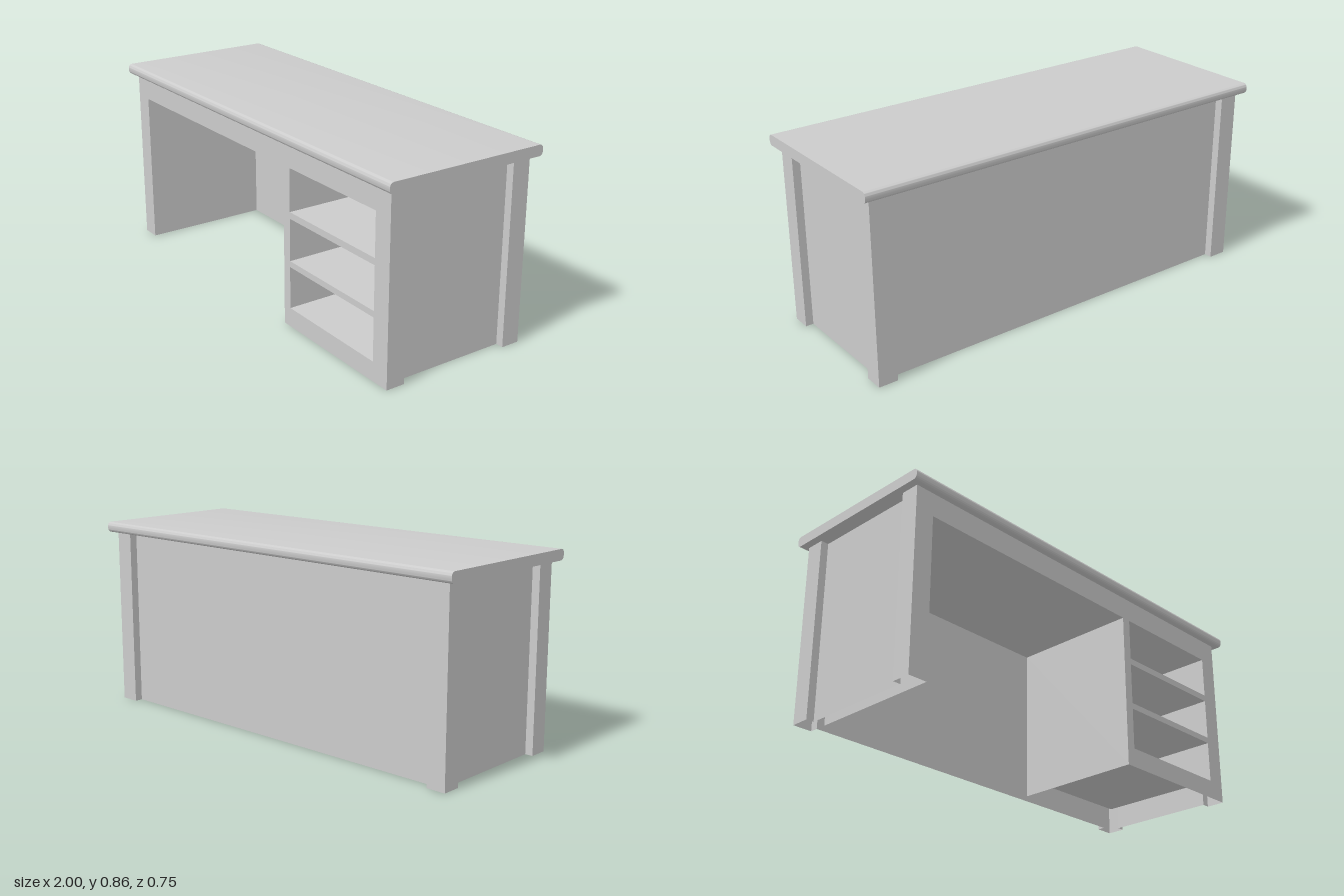
import * as THREE from 'three';
import { toCreasedNormals } from 'three/addons/utils/BufferGeometryUtils.js';

const X = 0.967, Z = 0.341;          // outer half size of the carcass
const PX = 0.88, PZ = 0.257;         // inner edges of the corner posts
const SX = 0.932, SZ = 0.305;        // recessed side and back panels
const H = 0.808, TOP = 0.855;        // carcass height, worktop height

// Upright wall following a plan of [x, z] points
function wall(points, height) {
  const pos = [];
  for (let i = 0; i < points.length - 1; i++) {
    const [ax, az] = points[i], [bx, bz] = points[i + 1];
    pos.push(ax, 0, az, bx, 0, bz, bx, height, bz);
    pos.push(ax, 0, az, bx, height, bz, ax, height, az);
  }
  const g = new THREE.BufferGeometry();
  g.setAttribute('position', new THREE.Float32BufferAttribute(pos, 3));
  g.computeVertexNormals();
  return g;
}

// Box-shaped recess running back from the front face, open on the front
function recess(x0, x1, y0, y1, openBottom) {
  const g = new THREE.BoxGeometry(x1 - x0, y1 - y0, Z + PZ);
  const index = Array.from(g.index.array);
  // side order: +x, -x, +y, -y, +z, -z
  const sides = openBottom ? [0, 1, 2, 5] : [0, 1, 2, 3, 5];
  g.setIndex(sides.flatMap((s) => index.slice(s * 6, s * 6 + 6)));
  g.clearGroups();
  return g.translate((x0 + x1) / 2, (y0 + y1) / 2, (Z - PZ) / 2);
}

function rectPath(Type, x0, x1, y0, y1) {
  return new Type([[x0, y0], [x1, y0], [x1, y1], [x0, y1]].map(([x, y]) => new THREE.Vector2(x, y)));
}

export function createModel() {
  const desk = new THREE.Group();
  desk.name = 'desk';
  const solid = new THREE.MeshStandardMaterial({ color: 0xcccccc });
  const sheet = new THREE.MeshStandardMaterial({ color: 0xcccccc, side: THREE.DoubleSide });
  const add = (name, geometry, material) => {
    const mesh = new THREE.Mesh(geometry, material);
    mesh.name = name;
    desk.add(mesh);
  };

  // Worktop with rounded long edges
  const r = 0.018, d = 0.375;
  const profile = new THREE.Shape();
  profile.moveTo(-d + r, H);
  profile.absarc(d - r, H + r, r, -Math.PI / 2, 0);
  profile.absarc(d - r, TOP - r, r, 0, Math.PI / 2);
  profile.absarc(-d + r, TOP - r, r, Math.PI / 2, Math.PI);
  profile.absarc(-d + r, H + r, r, Math.PI, Math.PI * 1.5);
  const top = new THREE.ExtrudeGeometry(profile, { depth: 2, bevelEnabled: false, curveSegments: 8 });
  top.translate(0, 0, -1).rotateY(Math.PI / 2);
  add('worktop', toCreasedNormals(top, 0.6), solid);

  // Corner posts with recessed side and back panels, hollow below
  const half = [[X, Z], [X, PZ], [SX, PZ], [SX, -PZ], [X, -PZ], [X, -Z], [PX, -Z], [PX, -SZ]];
  const mirrored = half.map(([x, z]) => [-x, z]).reverse();
  add('postsAndPanels', wall([...half, ...mirrored], H), sheet);

  // Front face: knee hole cut from the floor up, three drawer openings
  const kneeL = -PX, kneeR = 0.277, openTop = 0.705;
  const front = new THREE.Shape([
    [-X, 0], [kneeL, 0], [kneeL, openTop], [kneeR, openTop], [kneeR, 0], [X, 0], [X, H], [-X, H],
  ].map(([x, y]) => new THREE.Vector2(x, y)));
  const bays = [[0.085, 0.272], [0.299, 0.487], [0.516, openTop]];
  for (const [y0, y1] of bays) front.holes.push(rectPath(THREE.Path, 0.32, PX, y0, y1));
  add('frontFrame', new THREE.ShapeGeometry(front).translate(0, 0, Z), sheet);

  // Knee space and drawer bays
  add('kneeSpace', recess(kneeL, kneeR, 0, openTop, true), sheet);
  bays.forEach(([y0, y1], i) => add(`drawerBay${i + 1}`, recess(0.32, PX, y0, y1, false), sheet));

  return desk;
}
